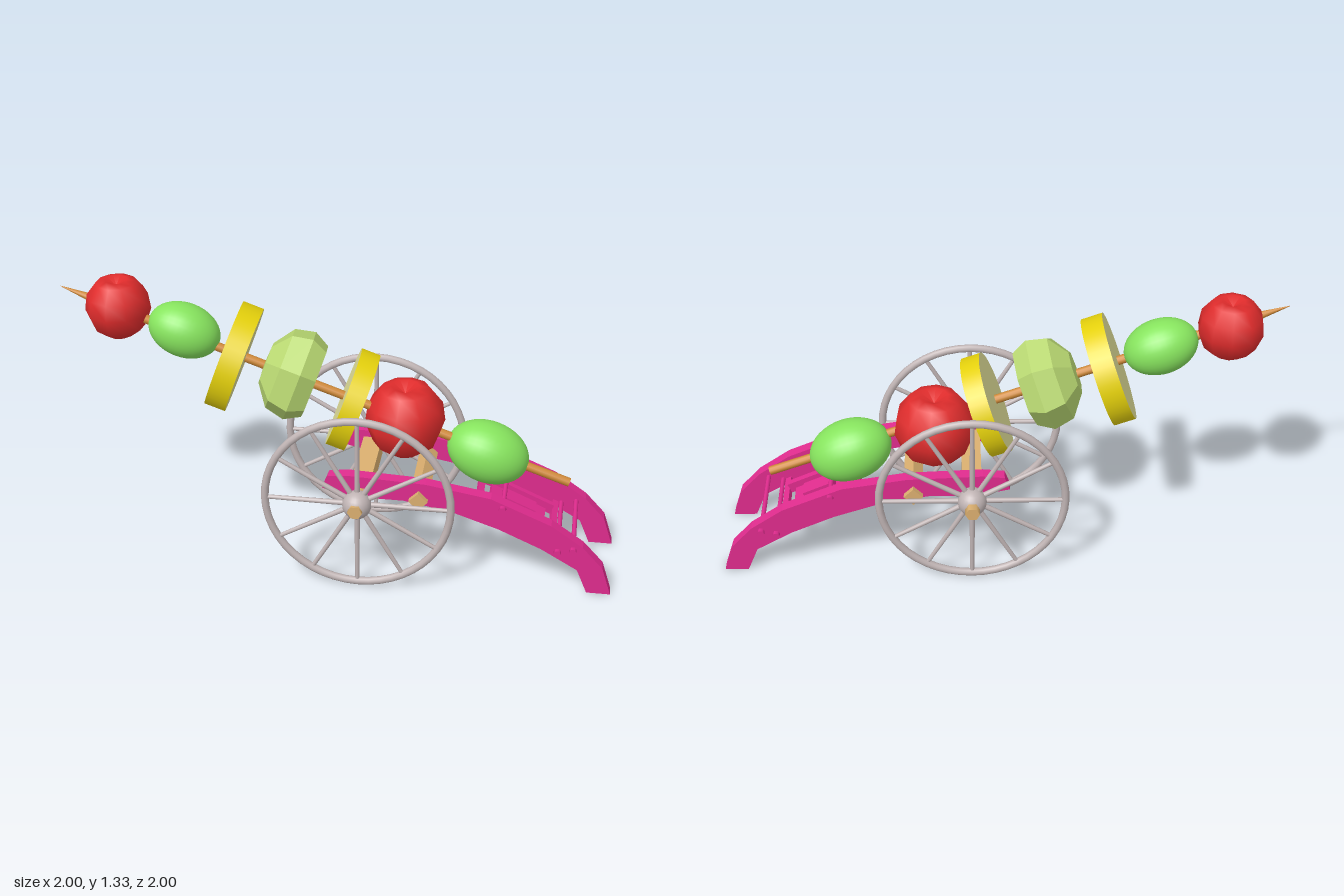
import * as THREE from 'three';

const paint = (name, color) => {
  const m = new THREE.MeshStandardMaterial({ color });
  m.name = name;
  return m;
};

export function createModel() {
  const magenta = paint('magenta', 0xe02c8e);
  const grey = paint('warm grey', 0xc0b4b4);
  const wood = paint('pale wood', 0xdcb070);
  const stick = paint('stick brown', 0xd08a38);
  const red = paint('tomato red', 0xe02c2c);
  const olive = paint('olive green', 0x87e45e);
  const yellow = paint('yellow rind', 0xe6d20c);
  const pale = paint('pale flesh', 0xe0de98);
  const leaf = paint('leaf green', 0xb9d872);

  const model = new THREE.Group();
  model.name = 'skewerCannon';
  // Local frame: z runs along the barrel, x across it
  const body = new THREE.Group();
  body.name = 'cannonBody';
  body.rotation.y = -Math.PI / 4;
  model.add(body);

  const add = (parent, name, geometry, material, x = 0, y = 0, z = 0) => {
    const mesh = new THREE.Mesh(geometry, material);
    mesh.name = name;
    mesh.position.set(x, y, z);
    parent.add(mesh);
    return mesh;
  };
  const points = list => list.map(([x, y]) => new THREE.Vector2(x, y));

  // Skewer: local y is its axis, tilted 20 degrees upward and turned a touch
  const tilt = THREE.MathUtils.degToRad(20);
  const skewer = new THREE.Group();
  skewer.name = 'skewer';
  skewer.position.set(-0.018, 0.77, 0);
  skewer.rotation.set(Math.PI / 2 - tilt, 0.0127, 0, 'YXZ');
  body.add(skewer);
  const along = f => f / Math.cos(tilt);
  const back = along(-0.945), neck = along(1.26), tip = along(1.414);
  add(skewer, 'stick', new THREE.CylinderGeometry(0.021, 0.021, neck - back, 12), stick, 0, (neck + back) / 2);
  add(skewer, 'stickPoint', new THREE.CylinderGeometry(0.001, 0.021, tip - neck, 12), stick, 0, (tip + neck) / 2);

  // Tomatoes: coarse, softly shaded balls standing upright with a dented crown
  const tomatoProfile = points([
    [0, -0.93], [0.42, -0.88], [0.8, -0.58], [1, -0.05], [0.93, 0.45], [0.62, 0.85], [0.35, 0.93], [0, 0.72],
  ]);
  const tomatoShape = new THREE.LatheGeometry(tomatoProfile, 10, 0.2);
  for (const [f, r, x, z] of [[1.155, 0.15, -0.017, 0.005], [-0.177, 0.188, -0.037, 0.022]]) {
    const tomato = add(skewer, 'tomato', tomatoShape, red, x, along(f), z);
    tomato.scale.setScalar(r);
    tomato.rotation.x = tilt - Math.PI / 2;
  }

  // Olives: smooth ellipsoids
  for (const [f, length, r, x, z] of [[0.855, 0.17, 0.126, -0.013, -0.012], [-0.566, 0.197, 0.145, -0.015, 0.012]]) {
    add(skewer, 'olive', new THREE.SphereGeometry(1, 32, 20), olive, x, along(f), z).scale.set(r, length, r);
  }

  // Round slices: yellow rind with pale faces
  for (const [f, r, t, x, z] of [[0.615, 0.252, 0.1, -0.01, 0.022], [0.07, 0.236, 0.09, -0.008, 0.008]]) {
    add(skewer, 'slice', new THREE.CylinderGeometry(r, r, t, 40), [yellow, pale, pale], x, along(f), z);
  }

  // Leafy chunk: seven flat sides, cut at the back and rounded in front
  const chunkProfile = points([[0, -0.08], [0.18, -0.115], [0.222, -0.04], [0.2, 0.055], [0.1, 0.125], [0, 0.13]]);
  const chunk = new THREE.LatheGeometry(chunkProfile, 7, 0.3).toNonIndexed();
  chunk.computeVertexNormals();
  add(skewer, 'leafChunk', chunk, leaf, 0, along(0.36), -0.012);

  // Curved side cheeks of the carriage, as (along, height) outlines
  const outline = points([
    [0.175, 0.46], [0.02, 0.425], [-0.2, 0.425], [-0.42, 0.385], [-0.64, 0.31], [-0.84, 0.22],
    [-1.01, 0.12], [-1.06, 0], [-1.17, 0], [-1.125, 0.14], [-1.03, 0.245], [-0.88, 0.35], [-0.6, 0.47],
    [-0.3, 0.52], [0.05, 0.535], [0.15, 0.525],
  ]);
  const cheek = new THREE.ExtrudeGeometry(new THREE.Shape(outline), { depth: 0.056, bevelEnabled: false });
  cheek.translate(0, 0, -0.028);
  cheek.rotateY(-Math.PI / 2);
  for (const s of [1, -1]) add(body, s > 0 ? 'leftCheek' : 'rightCheek', cheek, magenta, s * 0.21);

  // Tie rods with bolt heads showing outside the cheeks
  for (const [f, y] of [[-0.655, 0.425], [-0.915, 0.215], [-0.985, 0.23]]) {
    const rod = add(body, 'tieRod', new THREE.CylinderGeometry(0.011, 0.011, 0.5, 8), magenta, 0, y, f);
    rod.rotation.z = Math.PI / 2;
    for (const s of [1, -1]) {
      const bolt = add(body, 'bolt', new THREE.CylinderGeometry(0.017, 0.017, 0.025, 6), magenta, s * 0.247, y, f);
      bolt.rotation.z = Math.PI / 2;
    }
  }

  // Sloping slotted bed between the cheeks
  const bed = new THREE.Group();
  bed.name = 'bed';
  bed.position.set(0, 0.29, -0.71);
  bed.rotation.x = -0.42;
  body.add(bed);
  for (const s of [1, -1]) {
    add(bed, 'bedSideBoard', new THREE.BoxGeometry(0.07, 0.025, 0.4), magenta, s * 0.12);
    add(bed, 'bedRunner', new THREE.BoxGeometry(0.025, 0.05, 0.34), magenta, s * 0.085, 0.02);
  }
  add(bed, 'bedCentreBoard', new THREE.BoxGeometry(0.17, 0.025, 0.28), magenta);
  add(bed, 'bedRaisedBlock', new THREE.BoxGeometry(0.08, 0.035, 0.16), magenta, 0, 0.025);
  for (const z of [-0.19, 0.19]) add(bed, 'bedCrossBar', new THREE.BoxGeometry(0.37, 0.025, 0.03), magenta, 0, 0, z);

  // Wooden axle and the diamond-set beam behind it
  add(body, 'axleBeam', new THREE.BoxGeometry(0.38, 0.09, 0.09), wood, 0, 0.455, 0);
  const axle = add(body, 'axle', new THREE.CylinderGeometry(0.034, 0.034, 0.81, 6), wood, 0, 0.445, 0);
  axle.rotation.z = Math.PI / 2;
  const beam = add(body, 'rearBeam', new THREE.BoxGeometry(0.53, 0.062, 0.062), wood, 0, 0.44, -0.27);
  beam.rotation.x = Math.PI / 4;

  // Wheels: rounded rims, twelve spokes and ball hubs
  const rim = new THREE.TorusGeometry(0.427, 0.018, 10, 48);
  rim.rotateY(Math.PI / 2);
  const spoke = new THREE.CylinderGeometry(0.01, 0.013, 0.38, 8);
  spoke.translate(0, 0.23, 0);
  for (const s of [1, -1]) {
    const wheel = new THREE.Group();
    wheel.name = s > 0 ? 'leftWheel' : 'rightWheel';
    wheel.position.set(0.0125 + s * 0.311, 0.445, 0);
    body.add(wheel);
    add(wheel, 'rim', rim, grey);
    for (let i = 0; i < 12; i++) add(wheel, 'spoke', spoke, grey).rotation.x = i * Math.PI / 6;
    add(wheel, 'hub', new THREE.SphereGeometry(0.067, 20, 14), grey, s * 0.008);
  }
  return model;
}
